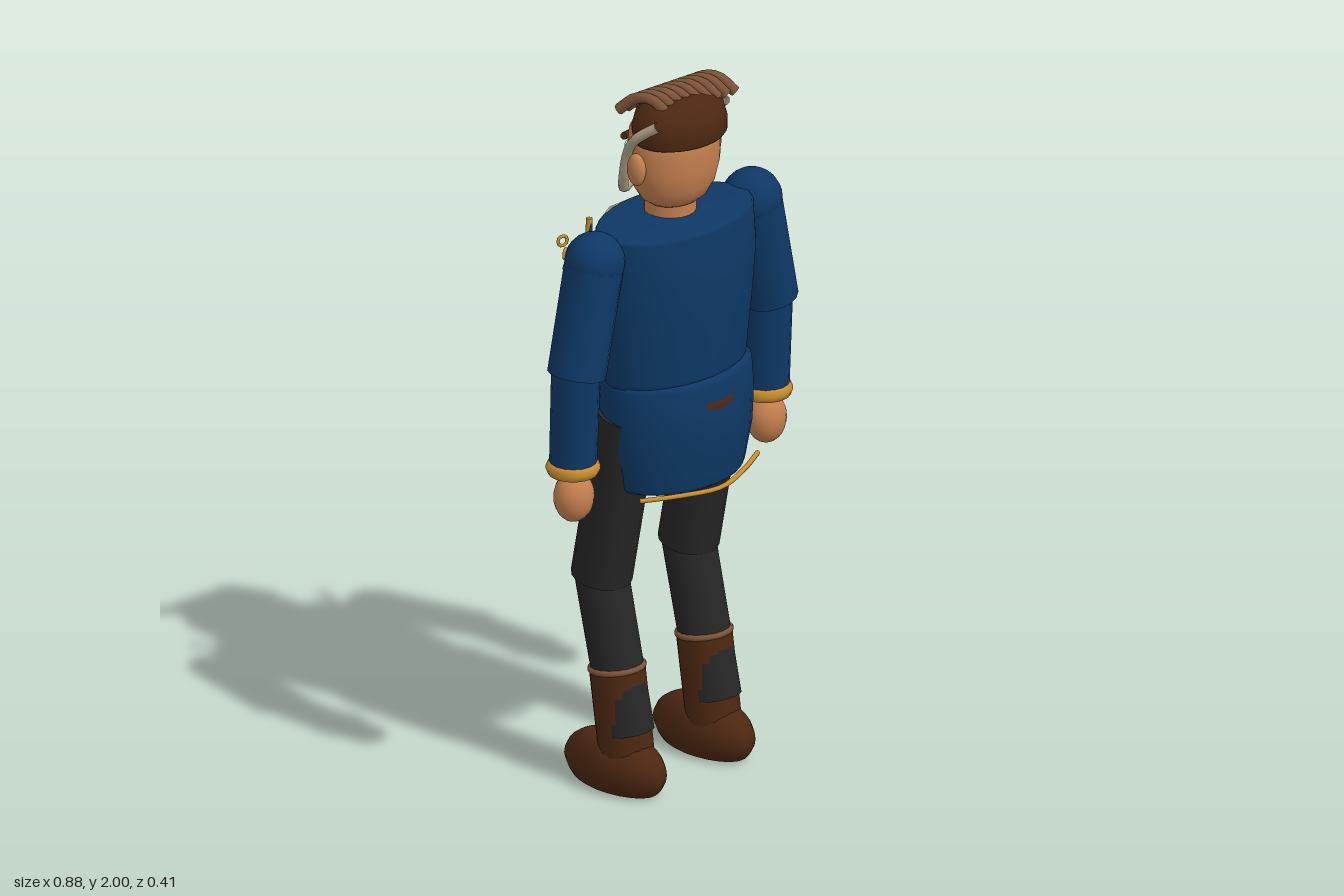
import * as THREE from 'three';

const mat = (name, color, extra = {}) => new THREE.MeshStandardMaterial({ name, color, ...extra });
const V = (x, y, z) => new THREE.Vector3(x, y, z);

export function createModel() {
  const root = new THREE.Group();
  root.name = 'officer';
  const blue = mat('coatBlue', 0x0e3866, { side: THREE.DoubleSide });
  const black = mat('clothBlack', 0x262626, { side: THREE.DoubleSide });
  const brown = mat('darkBrown', 0x4c2711);
  const tan = mat('lightBrown', 0x7d5337);
  const skin = mat('skin', 0xc68050);
  const beige = mat('linenBeige', 0xb2a78a, { side: THREE.DoubleSide });
  const gold = mat('gold', 0xc98d2f);
  const white = mat('eyeWhite', 0xe4e4e4);

  const add = (name, geo, material, x = 0, y = 0, z = 0) => {
    const m = new THREE.Mesh(geo, material);
    m.name = name;
    m.position.set(x, y, z);
    root.add(m);
    return m;
  };
  // Elliptical body of revolution from [radius, y] pairs, bottom to top
  const lathe = (name, profile, material, depth, z) => {
    const geo = new THREE.LatheGeometry(profile.map(([r, y]) => new THREE.Vector2(r, y)), 28);
    return add(name, geo.scale(1, 1, depth), material, 0, 0, z);
  };
  const ball = (name, material, p, s) =>
    add(name, new THREE.SphereGeometry(1, 18, 14).scale(...s), material, ...p);
  // Tapered cylinder between two points
  const limb = (name, a, b, ra, rb, material, sides = 18) => {
    const d = b.clone().sub(a);
    const m = add(name, new THREE.CylinderGeometry(rb, ra, d.length(), sides), material);
    m.position.copy(a).add(b).multiplyScalar(0.5);
    m.quaternion.setFromUnitVectors(V(0, 1, 0), d.normalize());
    return m;
  };
  const tube = (name, pts, r, material, steps = 16) =>
    add(name, new THREE.TubeGeometry(new THREE.CatmullRomCurve3(pts), steps, r, 8), material);
  const plate = (name, pts, material) => {
    const shape = new THREE.Shape(pts.map(([x, y]) => new THREE.Vector2(x, y)));
    return add(name, new THREE.ExtrudeGeometry(shape, { depth: 0.008, bevelEnabled: false }), material);
  };

  // Coat body and skirt
  lathe('coatBody', [[0, 1.17], [0.228, 1.17], [0.232, 1.2], [0.25, 1.35], [0.264, 1.5],
    [0.256, 1.615], [0.25, 1.622], [0.12, 1.63], [0, 1.635]], blue, 0.61, 0.027);
  lathe('coatSkirt', [[0, 0.885], [0.205, 0.88], [0.212, 0.89], [0.235, 1.0], [0.24, 1.1],
    [0.234, 1.18], [0.225, 1.19], [0, 1.19]], blue, 0.71, 0.032);
  tube('hemTrim', [V(-0.23, 0.885, 0.12), V(-0.12, 0.88, 0.165), V(0, 0.877, 0.197),
    V(0.12, 0.88, 0.165), V(0.22, 0.885, 0.12)], 0.007, gold);

  // Waistcoat, shirt front and belt
  add('waistcoat', new THREE.CylinderGeometry(0.18, 0.18, 0.45, 28, 1, false, Math.PI / 2, Math.PI)
    .scale(1, 1, 1.04), black, 0, 1.335, 0.022);
  const shirt = plate('shirtFront', [[-0.085, 0.1], [-0.06, -0.07], [-0.03, -0.11], [0.03, -0.11],
    [0.06, -0.07], [0.085, 0.1], [0.04, 0.13], [-0.04, 0.13]], beige);
  shirt.position.set(0, 1.46, -0.176);
  const cravat = plate('cravat', [[-0.045, 0], [0, -0.1], [0.045, 0], [0.025, 0.1], [-0.025, 0.1]], beige);
  cravat.position.set(0, 1.46, -0.182);
  lathe('belt', [[0.2, 1.088], [0.222, 1.09], [0.222, 1.133], [0.2, 1.135]], brown, 0.82, 0.02);
  add('beltBuckle', new THREE.BoxGeometry(0.06, 0.055, 0.012), gold, 0, 1.11, -0.17);
  add('buckleCentre', new THREE.BoxGeometry(0.03, 0.026, 0.006), brown, 0, 1.11, -0.176);

  // Chain of office: rings along a hanging curve
  const chain = new THREE.CatmullRomCurve3([V(-0.24, 1.56, -0.155), V(-0.19, 1.43, -0.165),
    V(-0.1, 1.345, -0.185), V(0, 1.325, -0.192), V(0.1, 1.345, -0.185), V(0.19, 1.43, -0.165), V(0.24, 1.56, -0.155)]);
  chain.getSpacedPoints(16).forEach((p, i) => {
    const ring = add('chainLink', new THREE.TorusGeometry(0.014, 0.005, 6, 10), gold, p.x, p.y, p.z);
    ring.rotation.y = i % 2 ? 0.5 : -0.3;
  });
  add('medal', new THREE.CylinderGeometry(0.046, 0.046, 0.014, 20).rotateX(Math.PI / 2), gold, 0, 1.265, -0.195);
  add('medalStem', new THREE.BoxGeometry(0.01, 0.05, 0.007), black, 0, 1.265, -0.204);
  add('medalBar', new THREE.BoxGeometry(0.026, 0.008, 0.007), black, 0, 1.277, -0.204);
  for (const s of [-1, 1]) {
    const arm = add('medalFluke', new THREE.BoxGeometry(0.026, 0.009, 0.007), black, s * 0.011, 1.25, -0.204);
    arm.rotation.z = s * 0.6;
  }

  // Head and neck
  limb('neck', V(0, 1.6, 0.01), V(0, 1.7, 0.01), 0.07, 0.07, skin);
  lathe('head', [[0, 1.664], [0.075, 1.667], [0.1, 1.685], [0.122, 1.72], [0.135, 1.77],
    [0.138, 1.83], [0.133, 1.88], [0.1, 1.93], [0, 1.95]], skin, 0.8, 0.025);
  lathe('hairCap', [[0.1, 1.857], [0.137, 1.857], [0.143, 1.865], [0.143, 1.9], [0.132, 1.935],
    [0.1, 1.96], [0.05, 1.974], [0, 1.977]], brown, 0.78, 0.045);
  for (let i = 0; i < 9; i++) {
    const x = -0.132 + i * 0.029, z = i * 0.003;
    tube('hairLock', [V(x, 1.94, -0.052 + z / 2), V(x + 0.02, 1.978, -0.01 + z),
      V(x + 0.035, 1.984, 0.035 + z), V(x + 0.06, 1.945, 0.072 + z)], 0.0155, tan, 10);
  }
  const nose = add('nose', new THREE.ConeGeometry(0.026, 0.07, 12), skin, 0, 1.782, -0.105);
  nose.rotation.x = -Math.PI / 2 - 0.1;

  for (const s of [-1, 1]) {
    // Face
    ball('ear', skin, [s * 0.143, 1.792, 0.025], [0.02, 0.046, 0.03]);
    ball('eye', white, [s * 0.052, 1.808, -0.078], [0.028, 0.017, 0.016]);
    ball('iris', blue, [s * 0.05, 1.808, -0.091], [0.011, 0.012, 0.005]);
    ball('pupil', black, [s * 0.05, 1.808, -0.095], [0.005, 0.006, 0.003]);
    limb('brow', V(s * 0.022, 1.828, -0.1), V(s * 0.09, 1.842, -0.075), 0.012, 0.01, brown, 8);
    limb('cheekWhisker', V(s * 0.024, 1.757, -0.104), V(s * 0.075, 1.752, -0.082), 0.011, 0.007, brown, 8);
    tube('sideburn', [V(s * 0.127, 1.93, 0.09), V(s * 0.147, 1.88, 0.025), V(s * 0.137, 1.83, -0.012),
      V(s * 0.124, 1.75, -0.04), V(s * 0.1, 1.7, -0.065), V(s * 0.05, 1.69, -0.093)], 0.014, beige, 24);
    tube('moustache', [V(s * 0.004, 1.732, -0.112), V(s * 0.035, 1.725, -0.104), V(s * 0.062, 1.7, -0.085)],
      0.012, beige, 8);

    // Front edge of the coat
    limb('frontTrim', V(s * 0.14, 1.0, -0.175), V(s * 0.115, 1.58, -0.178), 0.009, 0.009, gold, 8);
    const lapel = new THREE.BufferGeometry().setFromPoints([V(s * 0.11, 1.575, -0.172),
      V(s * 0.21, 1.52, -0.115), V(s * 0.13, 1.16, -0.16)]);
    lapel.computeVertexNormals();
    add('lapel', lapel, blue);

    // Arm
    ball('shoulder', blue, [s * 0.298, 1.573, 0.022], [0.082, 0.082, 0.082]);
    limb('upperSleeve', V(s * 0.365, 1.265, 0.02), V(s * 0.298, 1.575, 0.022), 0.079, 0.08, blue, 16);
    limb('lowerSleeve', V(s * 0.365, 1.0, 0.007), V(s * 0.365, 1.3, 0.018), 0.064, 0.066, blue, 16);
    add('cuff', new THREE.TorusGeometry(0.05, 0.024, 8, 20).rotateX(Math.PI / 2), gold, s * 0.365, 0.994, 0.007);
    ball('hand', skin, [s * 0.365, 0.91, 0.01], [0.057, 0.072, 0.053]);
    const thumb = ball('thumb', skin, [s * 0.338, 0.925, -0.03], [0.02, 0.042, 0.022]);
    thumb.rotation.z = s * 0.2;

    // Leg
    const x = s * 0.165;
    limb('thigh', V(x, 0.59, -0.083), V(x, 1.09, 0.015), 0.083, 0.083, black);
    ball('knee', black, [x, 0.6, -0.085], [0.074, 0.074, 0.074]);
    limb('shin', V(x, 0.165, 0.016), V(x, 0.6, -0.085), 0.071, 0.073, black);
    limb('bootShaft', V(x, 0.1, 0.01), V(x, 0.345, -0.026), 0.075, 0.076, brown);
    const rim = add('bootRim', new THREE.TorusGeometry(0.071, 0.009, 8, 20).rotateX(Math.PI / 2), tan, x, 0.342, -0.026);
    rim.rotation.x = -0.14;

    // Shoe: ellipsoid with a flattened sole and a lower, narrower toe
    const shoe = new THREE.SphereGeometry(1, 22, 16).scale(0.088, 0.098, 0.173);
    const p = shoe.attributes.position;
    for (let i = 0; i < p.count; i++) {
      const toe = Math.max(0, -p.getZ(i) / 0.173);
      p.setX(i, p.getX(i) * (1 - 0.1 * toe));
      p.setY(i, Math.min(0.082, Math.max(-0.06, p.getY(i))) - 0.008 * toe * (p.getY(i) > 0));
    }
    shoe.computeVertexNormals();
    add('shoe', shoe, brown, s * 0.168, 0.06, -0.03);
  }
  return root;
}
